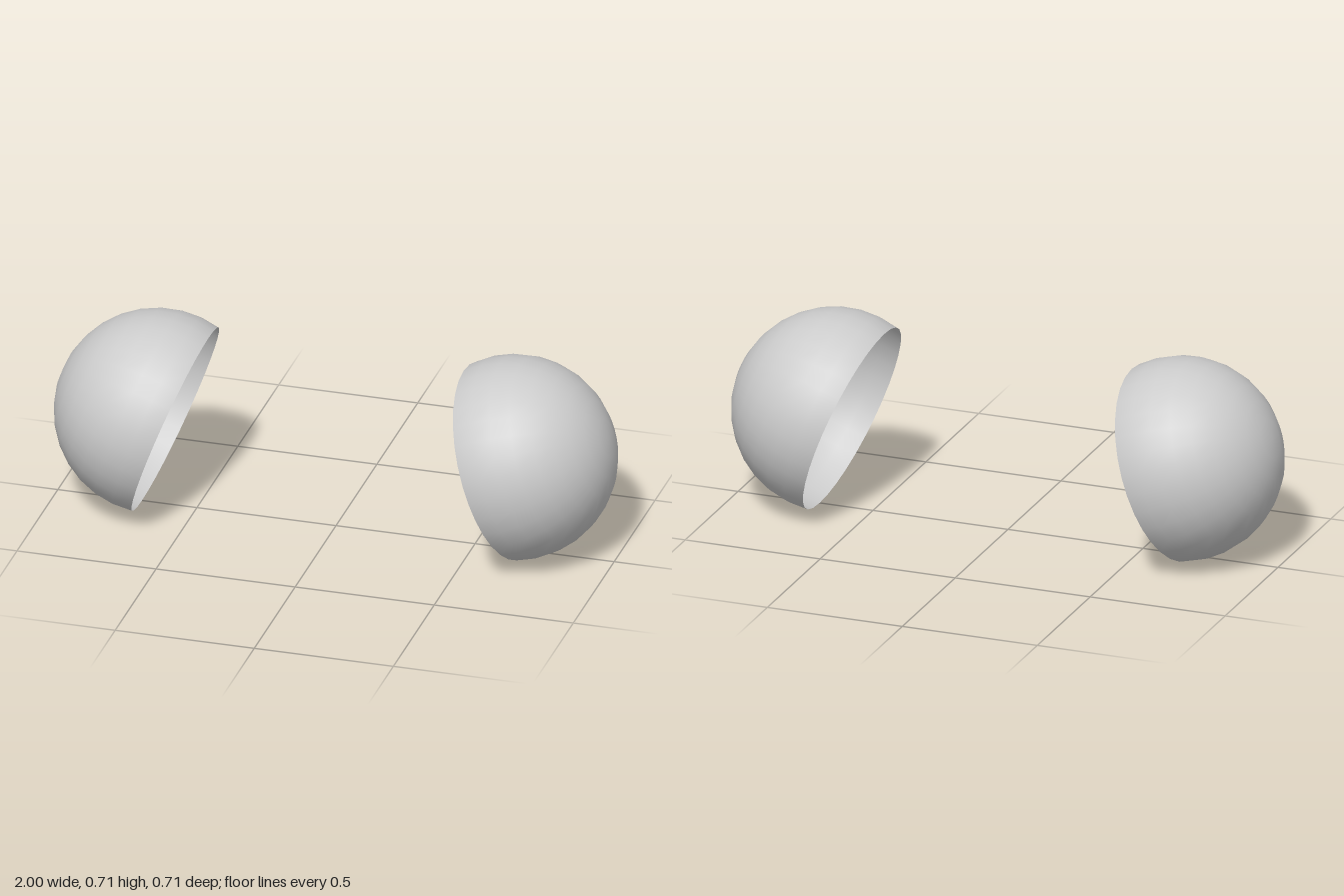
import * as THREE from 'three';

const RADIUS = 0.357;
const TILT = THREE.MathUtils.degToRad(70); // lean of each dome's axis away from vertical

export function createModel() {
  const model = new THREE.Group();
  const material = new THREE.MeshStandardMaterial({ color: 0xcccccc, side: THREE.DoubleSide });

  // Open shell: nine of the sixteen rings of a sphere, slightly more than half
  const shell = new THREE.SphereGeometry(RADIUS, 32, 9, 0, Math.PI * 2, 0, Math.PI * 9 / 16);

  // A mirrored pair, open sides facing inward and a little downward
  for (const [name, side] of [['leftCup', 1], ['rightCup', -1]]) {
    const cup = new THREE.Mesh(shell, material);
    cup.name = name;
    cup.position.set(side * 0.6433, 0.353, 0);
    cup.rotation.z = -side * TILT;
    model.add(cup);
  }
  return model;
}
